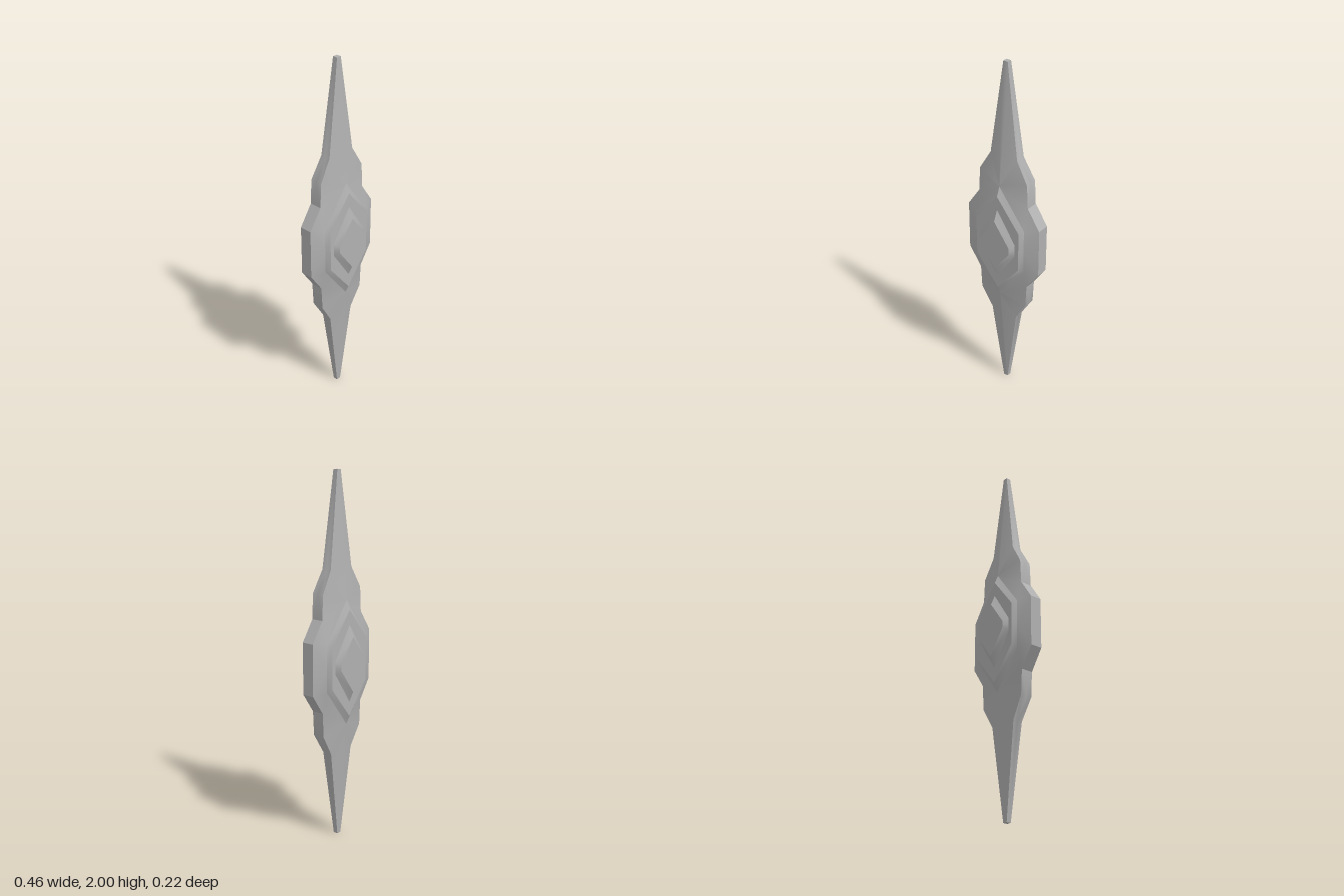
import * as THREE from 'three';
import { toCreasedNormals } from 'three/addons/utils/BufferGeometryUtils.js';

const MID = 1; // height of the symmetry plane

// Mirror convex faces of one octant (counter-clockwise from outside) into all eight
function mirrored(faces) {
  const pos = [];
  for (const sx of [1, -1]) for (const sy of [1, -1]) for (const sz of [1, -1]) {
    const flip = sx * sy * sz < 0;
    for (const f of faces) {
      for (let i = 1; i < f.length - 1; i++) {
        const tri = flip ? [f[0], f[i + 1], f[i]] : [f[0], f[i], f[i + 1]];
        for (const [x, y, z] of tri) pos.push(x * sx, MID + y * sy, z * sz);
      }
    }
  }
  const g = new THREE.BufferGeometry();
  g.setAttribute('position', new THREE.Float32BufferAttribute(pos, 3));
  return toCreasedNormals(g, 0.5);
}

// Bevelled hexagonal plate: half width, side half height, apex height, z
function plateFaces(base, top) {
  const ring = ([w, s, a, z]) => [[w, 0, z], [w, s, z], [0, a, z]];
  const [b0, b1, b2] = ring(base);
  const [t0, t1, t2] = ring(top);
  return [[b0, b1, t1, t0], [b1, b2, t2, t1], [[0, 0, top[3]], t0, t1, t2]];
}

export function createModel() {
  const group = new THREE.Group();
  const grey = new THREE.MeshStandardMaterial({ color: 0xb0b0b0 });
  grey.name = 'stone grey';

  const add = (name, faces) => {
    const mesh = new THREE.Mesh(mirrored(faces), grey);
    mesh.name = name;
    group.add(mesh);
  };

  // Blade: stepped outline from the middle up to the tip
  const outline = [
    [0.231, 0, 0.034], [0.231, 0.14, 0.034], [0.157, 0.25, 0.034],
    [0.15, 0.385, 0.034], [0.083, 0.5, 0.028], [0.013, 1, 0.013],
  ];
  const [o0, o1, o2, o3, o4, tip] = outline;
  const h0 = [0.157, 0, 0.065], h1 = [0.157, 0.13, 0.065];
  const apex = [0, 0.34, 0.065], ridgeTip = [0, 1, 0.013];
  const flat = ([x, y]) => [x, y, 0];
  const blade = [
    [h0, o0, o1, h1], [h1, o1, o2], [apex, h1, o2],
    [apex, o2, o3], [apex, o3, o4], [apex, o4, tip, ridgeTip],
    [ridgeTip, tip, flat(tip), flat(ridgeTip)],
  ];
  // Rim of the blade
  for (let i = 0; i < outline.length - 1; i++) {
    const a = outline[i], b = outline[i + 1];
    blade.push([a, flat(a), flat(b), b]);
  }
  add('blade', blade);

  // Raised plate and central gem on both faces
  add('raisedPlate', plateFaces([0.157, 0.13, 0.34, 0.065], [0.138, 0.115, 0.29, 0.086]));
  add('centreGem', plateFaces([0.115, 0.035, 0.21, 0.086], [0.095, 0.018, 0.15, 0.111]));

  return group;
}
